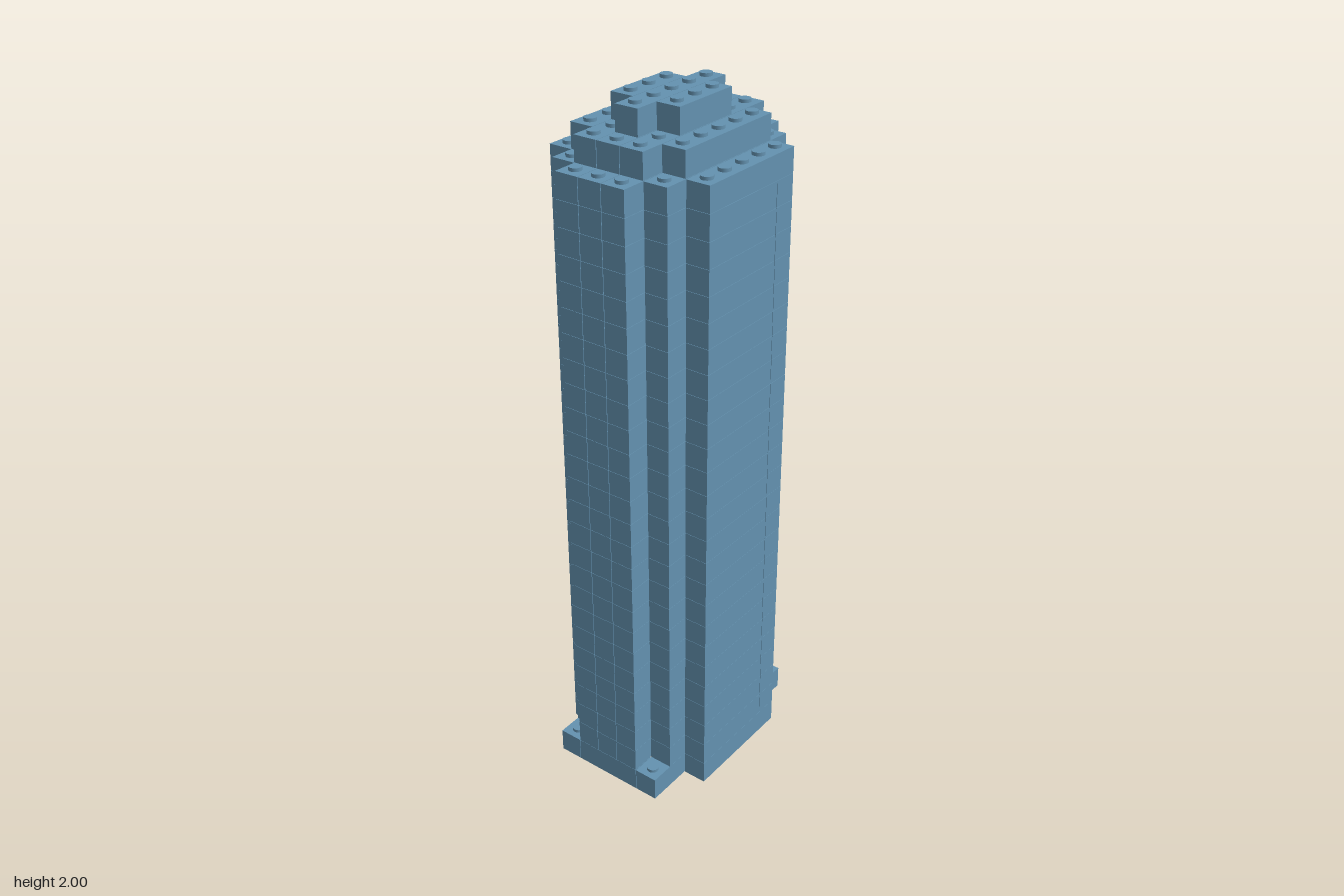
import * as THREE from 'three';
import { mergeGeometries } from 'three/addons/utils/BufferGeometryUtils.js';

const P = 0.0711;      // brick pitch, also the height of one layer
const GAP = 0.0018;    // joint between neighbouring bricks
const ROWS = 10, COLS = 7, LAYERS = 28;
const STUD_H = 2 - LAYERS * P;

// Width in bricks of each row, from back to front
const BASE = [3, 5, 5, 7, 7, 7, 7, 7, 5, 5];
const SHAFT = [0, 3, 5, 7, 7, 7, 7, 7, 5, 3];
const STEP = [0, 0, 3, 5, 5, 5, 5, 5, 3, 0];
const CROWN = [0, 0, 0, 1, 3, 3, 3, 1, 0, 0];

const planOf = (n) => n === 0 ? BASE : n < 26 ? SHAFT : n === 26 ? STEP : CROWN;

function inside(plan, r, c) {
  return r >= 0 && r < ROWS && Math.abs(c - 3) * 2 < plan[r];
}

// One-brick-thick wall: a cell with open air beside it or at a corner
function inWall(plan, r, c) {
  if (!inside(plan, r, c)) return false;
  for (let i = -1; i <= 1; i++)
    for (let j = -1; j <= 1; j++)
      if (!inside(plan, r + i, c + j)) return true;
  return false;
}

const cellX = (c) => (c - 3) * P;
const cellZ = (r) => (r - 4.5) * P;

// Join the cells of a layer into long bricks
function layerBricks(n) {
  const plan = planOf(n), solid = n >= 25, used = new Set(), parts = [];
  const free = (r, c) =>
    (solid ? inside(plan, r, c) : inWall(plan, r, c)) && !used.has(r * COLS + c);
  for (let r = 0; r < ROWS; r++) {
    for (let c = 0; c < COLS; c++) {
      if (!free(r, c)) continue;
      let nx = 1, nz = 1;
      while (free(r, c + nx)) nx++;
      while (free(r + nz, c)) nz++;
      if (nx > nz || (nx === nz && n % 2 === 0)) nz = 1;
      else nx = 1;
      for (let i = 0; i < nz; i++)
        for (let j = 0; j < nx; j++) used.add((r + i) * COLS + c + j);
      const g = new THREE.BoxGeometry(nx * P - GAP, P - GAP / 2, nz * P - GAP);
      g.translate(cellX(c + (nx - 1) / 2), (n + 0.5) * P, cellZ(r + (nz - 1) / 2));
      parts.push(g);
    }
  }
  return mergeGeometries(parts);
}

// Studs on every cell that the next layer leaves uncovered
function layerStuds(n) {
  const plan = planOf(n), above = n + 1 < LAYERS ? planOf(n + 1) : null, parts = [];
  for (let r = 0; r < ROWS; r++) {
    for (let c = 0; c < COLS; c++) {
      if (!inside(plan, r, c) || (above && inside(above, r, c))) continue;
      const g = new THREE.CylinderGeometry(0.017, 0.017, STUD_H, 20);
      g.translate(cellX(c), (n + 1) * P + STUD_H / 2, cellZ(r));
      parts.push(g);
    }
  }
  return parts.length ? mergeGeometries(parts) : null;
}

export function createModel() {
  const group = new THREE.Group();
  group.name = 'brickTower';
  const blue = new THREE.MeshStandardMaterial({ color: 0x6492b0 });
  blue.name = 'dusty blue';

  for (let n = 0; n < LAYERS; n++) {
    const part = n === 0 ? 'base' : n < 26 ? 'shaft' : n === 26 ? 'roofStep' : 'crown';
    const bricks = new THREE.Mesh(layerBricks(n), blue);
    bricks.name = `${part}Bricks${n + 1}`;
    group.add(bricks);
    const studs = layerStuds(n);
    if (studs) {
      const mesh = new THREE.Mesh(studs, blue);
      mesh.name = `${part}Studs`;
      group.add(mesh);
    }
  }
  return group;
}
